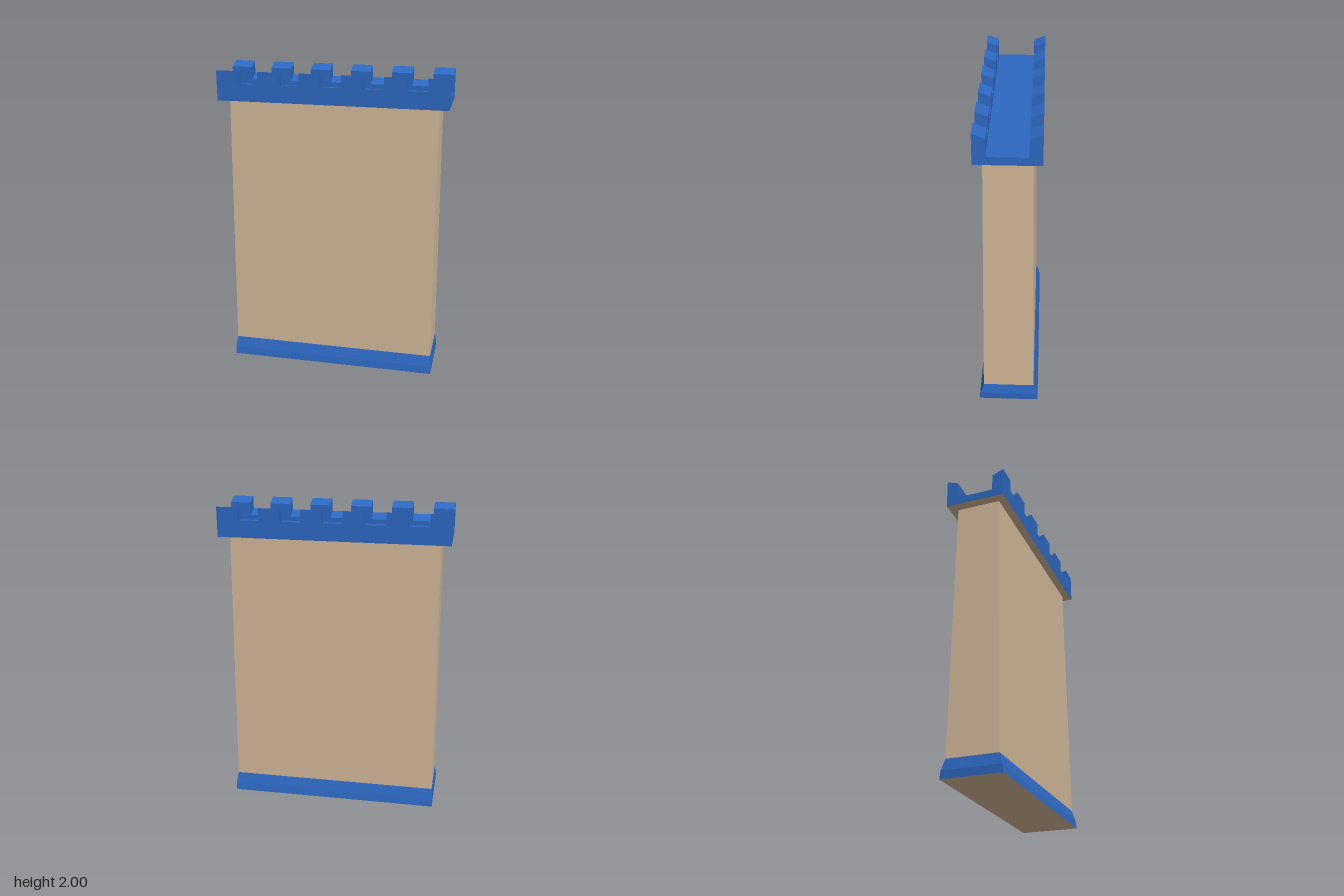
import * as THREE from 'three';

const blue = new THREE.MeshStandardMaterial({ color: 0x2d68c2, flatShading: true });
const tan = new THREE.MeshStandardMaterial({ color: 0xd1b798, flatShading: true });

function addMesh(parent, name, geometry, material) {
  const mesh = new THREE.Mesh(geometry, material);
  mesh.name = name;
  parent.add(mesh);
  return mesh;
}

// Side faces through stacked rectangles, each given as [y, half width, half depth]
function rectLoft(levels) {
  const pos = [];
  const corners = ([y, w, d]) => [[-w, y, d], [w, y, d], [w, y, -d], [-w, y, -d]];
  for (let i = 0; i < levels.length - 1; i++) {
    const lo = corners(levels[i]), hi = corners(levels[i + 1]);
    for (let j = 0; j < 4; j++) {
      const k = (j + 1) % 4;
      pos.push(...lo[j], ...lo[k], ...hi[k], ...lo[j], ...hi[k], ...hi[j]);
    }
  }
  const geo = new THREE.BufferGeometry();
  geo.setAttribute('position', new THREE.Float32BufferAttribute(pos, 3));
  geo.computeVertexNormals();
  return geo;
}

// Crenellated wall whose top edges slope down towards the inside
function parapetGeometry() {
  const half = 0.73, bottom = 1.81, sill = 1.92, top = 2, inner = 0.12, thickness = 0.075;
  const count = 6, merlon = 0.132, pitch = (2 * half - merlon) / (count - 1);
  const shape = new THREE.Shape();
  shape.moveTo(half, bottom);
  for (let i = count - 1; i >= 0; i--) {
    const x = -half + i * pitch;
    if (i < count - 1) shape.lineTo(x + merlon, sill);
    shape.lineTo(x + merlon, top);
    shape.lineTo(x, top);
    if (i > 0) shape.lineTo(x, sill);
  }
  shape.lineTo(-half, bottom);
  shape.closePath();
  const geo = new THREE.ExtrudeGeometry(shape, { depth: thickness, bevelEnabled: false });
  const p = geo.attributes.position;
  for (let i = 0; i < p.count; i++) {
    if (p.getZ(i) < 0.001 && p.getY(i) > bottom + 0.01) p.setY(i, p.getY(i) - 0.03);
  }
  geo.translate(0, 0, inner);
  geo.computeVertexNormals();
  return geo;
}

export function createModel() {
  const model = new THREE.Group();
  model.name = 'castleWall';

  // Flared plinth and tapering wall
  addMesh(model, 'plinth', rectLoft([[0, 0.685, 0.193], [0.05, 0.688, 0.185], [0.12, 0.677, 0.164]]), blue);
  addMesh(model, 'wall', rectLoft([[0.12, 0.677, 0.164], [1.81, 0.665, 0.142]]), tan);

  // Walkway with a parapet on each long side
  addMesh(model, 'walkway', new THREE.BoxGeometry(1.46, 0.05, 0.24), blue).position.y = 1.835;
  const parapet = parapetGeometry();
  addMesh(model, 'frontParapet', parapet, blue);
  addMesh(model, 'backParapet', parapet, blue).rotation.y = Math.PI;

  // Stone undersides of plinth and walkway
  for (const [name, y, w, d] of [['plinthUnderside', 0, 1.37, 0.386], ['walkwayUnderside', 1.809, 1.46, 0.39]]) {
    const under = addMesh(model, name, new THREE.PlaneGeometry(w, d), tan);
    under.rotation.x = Math.PI / 2;
    under.position.y = y;
  }
  return model;
}
